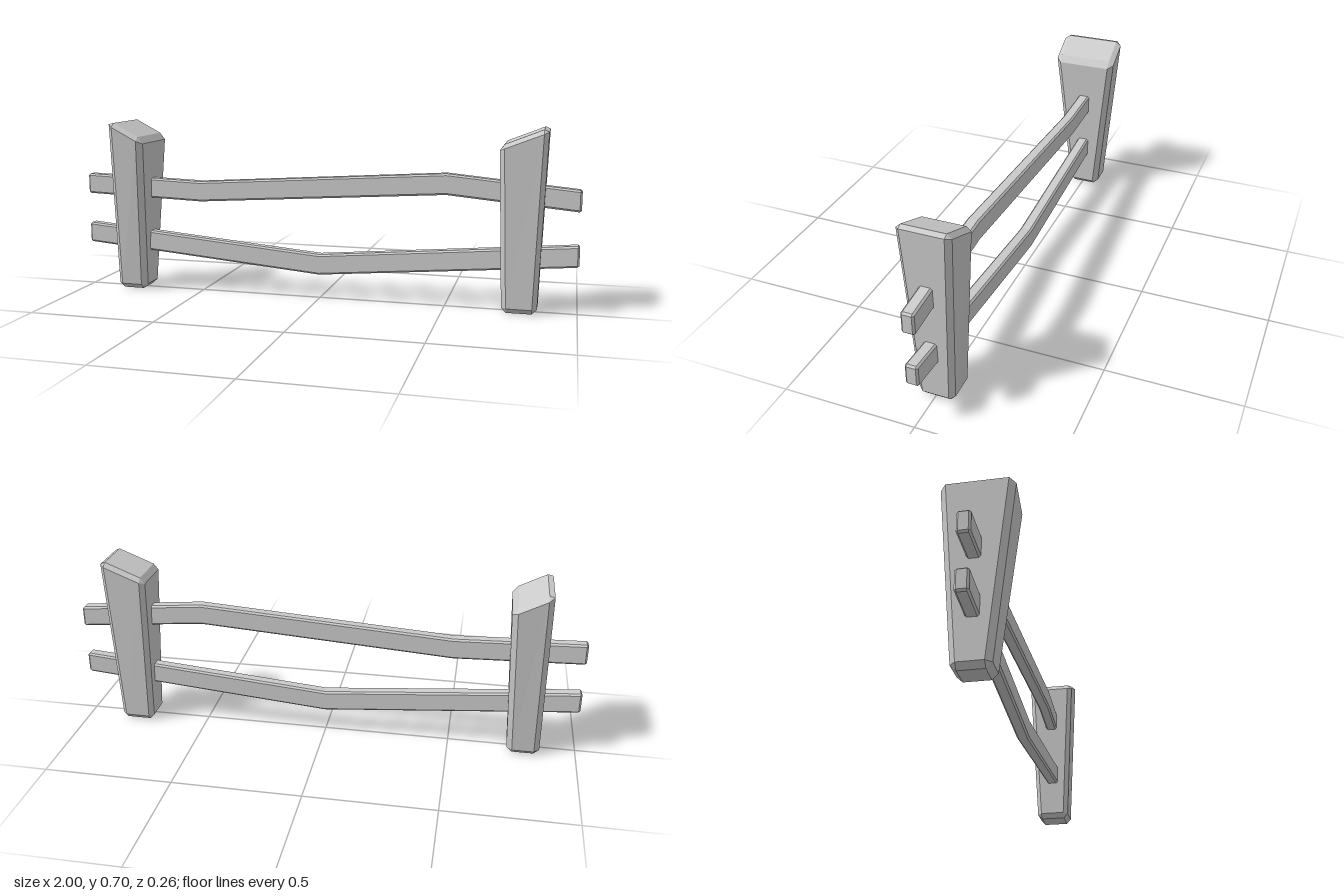
import * as THREE from 'three';

// Chamfered rectangle, counter-clockwise in (u, v); c = 0 gives doubled corners
function chamferRect(u0, u1, v0, v1, c) {
  return [
    [u1, v0 + c], [u1, v1 - c], [u1 - c, v1], [u0 + c, v1],
    [u0, v1 - c], [u0, v0 + c], [u0 + c, v0], [u1 - c, v0],
  ];
}

// Skin between successive rings of 3D points, closed with flat caps
function loft(rings, name) {
  const pos = [];
  const same = (a, b) => a.every((v, i) => Math.abs(v - b[i]) < 1e-6);
  const tri = (a, b, c) => {
    if (!same(a, b) && !same(b, c) && !same(c, a)) pos.push(...a, ...b, ...c);
  };
  const n = rings[0].length;
  for (let r = 0; r < rings.length - 1; r++) {
    const lo = rings[r], hi = rings[r + 1];
    for (let i = 0; i < n; i++) {
      const j = (i + 1) % n;
      tri(lo[i], lo[j], hi[j]);
      tri(lo[i], hi[j], hi[i]);
    }
  }
  const first = rings[0], last = rings[rings.length - 1];
  for (let i = 1; i < n - 1; i++) {
    tri(first[0], first[i + 1], first[i]);
    tri(last[0], last[i], last[i + 1]);
  }
  const geo = new THREE.BufferGeometry();
  geo.setAttribute('position', new THREE.Float32BufferAttribute(pos, 3));
  geo.computeVertexNormals();
  const mesh = new THREE.Mesh(geo, new THREE.MeshStandardMaterial({ color: 0xcccccc, flatShading: true }));
  mesh.name = name;
  return mesh;
}

// Tapered post with bevelled edges and a slanted top; bottom and top are [x0, x1, z0, z1]
function post(name, bottom, top, topY, c) {
  const ring = ([x0, x1, z0, z1], inset, cut, yAt) =>
    chamferRect(z0 + inset, z1 - inset, x0 + inset, x1 - inset, cut).map(([z, x]) => [x, yAt(x), z]);
  const slope = (topY[1] - topY[0]) / (top[1] - top[0]);
  const shoulder = (x) => topY[0] + slope * (x - top[0]);
  return loft([
    ring(bottom, c, 0, () => 0),
    ring(bottom, 0, c, () => 0.02),
    ring(top, 0, c, shoulder),
    ring(top, c, 0, (x) => shoulder(x) + 0.016),
  ], name);
}

// Bent rail following [x, centre y] points, with bevelled ends
function rail(name, path) {
  const c = 0.007, h = 0.041, z0 = -0.027, z1 = 0.021;
  const ring = (x, y, inset, cut) =>
    chamferRect(y - h + inset, y + h - inset, z0 + inset, z1 - inset, cut).map(([v, z]) => [x, v, z]);
  const [xs, ys] = path[0], [xe, ye] = path[path.length - 1];
  return loft([
    ring(xs, ys, c, 0),
    ring(xs + c, ys, 0, c),
    ...path.slice(1, -1).map(([x, y]) => ring(x, y, 0, c)),
    ring(xe - c, ye, 0, c),
    ring(xe, ye, c, 0),
  ], name);
}

export function createModel() {
  const fence = new THREE.Group();
  fence.name = 'fence';
  fence.add(
    post('leftPost', [0.72, 0.853, -0.074, 0.061], [0.70, 0.875, -0.1, 0.094], [0.62, 0.69], 0.018),
    post('rightPost', [-0.86, -0.733, -0.074, 0.061], [-0.852, -0.706, -0.129, 0.13], [0.688, 0.612], 0.021),
    rail('upperRail', [[-1, 0.431], [-0.5, 0.414], [0.5, 0.479], [1, 0.433]]),
    rail('lowerRail', [[-1, 0.224], [0, 0.138], [1, 0.224]]),
  );
  return fence;
}
